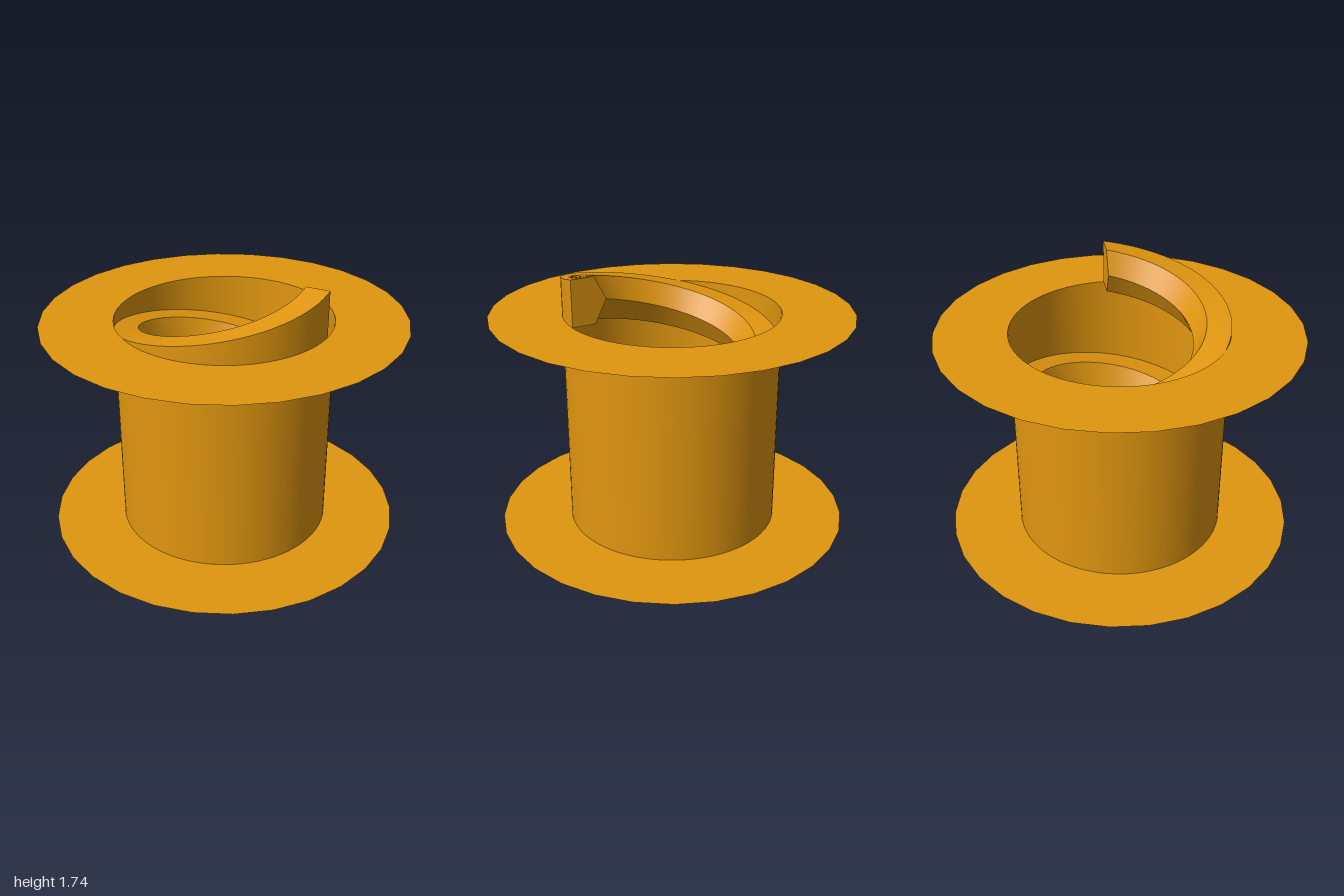
import * as THREE from 'three';

const R = 0.6, FLANGE_R = 1, Y0 = 0.256, Y1 = 1.481;
const TURNS = 2, RISE = 1.481, STEPS = 192;
// thread cross-section (radius, height), counter-clockwise
const PROFILE = [[R, 0], [R, 0.256], [0.467, 0.256], [0.4, 0.128], [0.467, 0]];

// one smooth helical strip per profile edge, creased between edges
function threadGeometry() {
  const pos = [], index = [];
  PROFILE.forEach((p, e) => {
    const q = PROFILE[(e + 1) % PROFILE.length];
    const base = pos.length / 3;
    for (let i = 0; i <= STEPS; i++) {
      const t = (i / STEPS) * TURNS * Math.PI * 2, lift = (i / STEPS) * RISE;
      for (const [r, y] of [p, q]) pos.push(r * Math.cos(t), y + lift, -r * Math.sin(t));
      if (i < STEPS) {
        const a = base + i * 2, b = a + 1, d = a + 2, c = a + 3;
        index.push(a, d, c, a, c, b);
      }
    }
  });
  const g = new THREE.BufferGeometry();
  g.setAttribute('position', new THREE.Float32BufferAttribute(pos, 3));
  g.setIndex(index);
  g.computeVertexNormals();
  return g;
}

export function createModel() {
  const group = new THREE.Group();
  const material = new THREE.MeshStandardMaterial({ color: 0xe0960f, side: THREE.DoubleSide });
  const add = (name, geometry, y = 0) => {
    const mesh = new THREE.Mesh(geometry, material);
    mesh.name = name;
    mesh.position.y = y;
    group.add(mesh);
    return mesh;
  };

  // open tube wall
  add('sleeve', new THREE.CylinderGeometry(R, R, Y1 - Y0, 96, 1, true), (Y0 + Y1) / 2);

  // flat 30-sided flanges with a round hole
  const ring = new THREE.Shape();
  for (let i = 0; i < 30; i++) {
    const a = (i / 30) * Math.PI * 2;
    ring[i ? 'lineTo' : 'moveTo'](FLANGE_R * Math.cos(a), FLANGE_R * Math.sin(a));
  }
  ring.holes.push(new THREE.Path().absarc(0, 0, R, 0, Math.PI * 2, true));
  const flange = new THREE.ShapeGeometry(ring, 48).rotateX(-Math.PI / 2);
  add('bottomFlange', flange, Y0);
  add('topFlange', flange, Y1);

  // internal helical thread with its two end faces
  add('thread', threadGeometry());
  const cap = new THREE.ShapeGeometry(new THREE.Shape(PROFILE.map(([x, y]) => new THREE.Vector2(x, y))));
  add('threadStart', cap);
  // the upper face looks the other way: turned about y, then placed back on the +x side
  const endCap = new THREE.ShapeGeometry(
    new THREE.Shape(PROFILE.map(([x, y]) => new THREE.Vector2(-x, y)))).rotateY(Math.PI);
  add('threadEnd', endCap, RISE);
  return group;
}
